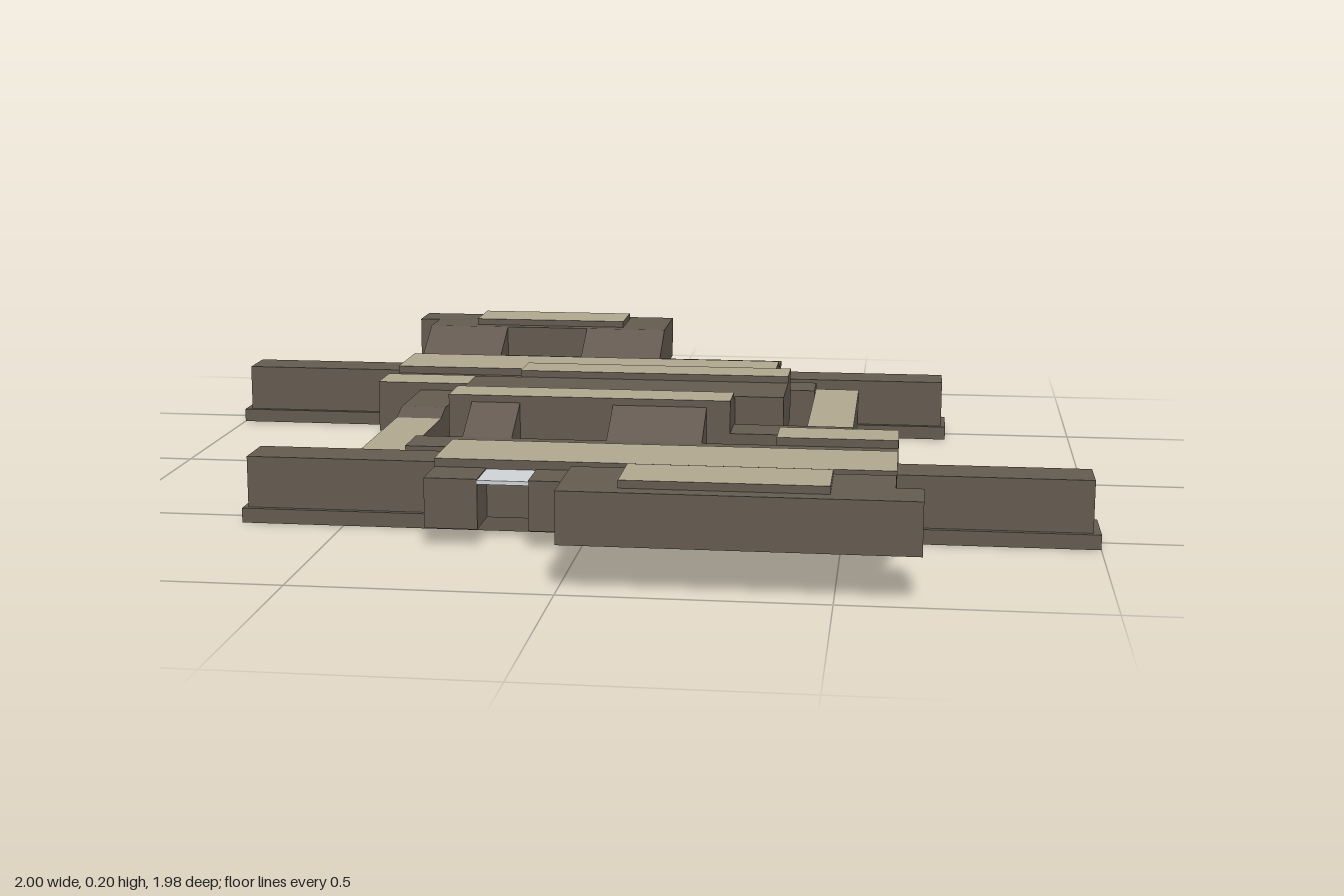
import * as THREE from 'three';

const mat = (name, color, side = THREE.FrontSide) => {
  const m = new THREE.MeshStandardMaterial({ color, side });
  m.name = name;
  return m;
};

export function createModel() {
  const model = new THREE.Group();
  model.name = 'railPlatform';
  const brown = mat('brown metal', 0x645a50);
  const tan = mat('tan panel', 0xb0a78e);
  const grey = mat('pale grey clip', 0xd0d3d6);
  const capped = [brown, brown, tan, brown, brown, brown];

  // Box given by its limits on each axis
  const box = (parent, name, x0, x1, y0, y1, z0, z1, material = brown) => {
    const mesh = new THREE.Mesh(new THREE.BoxGeometry(x1 - x0, y1 - y0, z1 - z0), material);
    mesh.position.set((x0 + x1) / 2, (y0 + y1) / 2, (z0 + z1) / 2);
    mesh.name = name;
    parent.add(mesh);
  };

  // Prism with a side profile of [z, y] points, spanning x0 to x1
  const prism = (parent, name, x0, x1, points, material = brown) => {
    const shape = new THREE.Shape(points.map(([z, y]) => new THREE.Vector2(-z, y)));
    const geo = new THREE.ExtrudeGeometry(shape, { depth: x1 - x0, bevelEnabled: false });
    geo.rotateY(Math.PI / 2);
    const mesh = new THREE.Mesh(geo, material);
    mesh.position.x = x0;
    mesh.name = name;
    parent.add(mesh);
  };

  // Sloped link between two heights, each given as [z, bottom, top]
  const link = (parent, name, x0, x1, [za, a0, a1], [zb, b0, b1]) =>
    prism(parent, name, x0, x1, [[za, a0], [zb, b0], [zb, b1], [za, a1]]);

  const low = 0.035, deck = 0.135, high = 0.09, top = 0.19;

  // Two matching halves, the second turned half round
  for (const end of ['front', 'back']) {
    const half = new THREE.Group();
    half.name = end + 'Half';
    if (end === 'back') half.rotation.y = Math.PI;
    model.add(half);

    // Rail with flange
    box(half, 'railFlange', -0.71, 1, 0, 0.03, 0.433, 0.557);
    box(half, 'railBody', -0.7, 0.985, 0.03, deck, 0.445, 0.545);

    // Carriage over the rail
    box(half, 'carriage', -0.305, 0.605, low, deck, 0.405, 0.587);
    box(half, 'carriageCover', -0.305, 0.605, deck, 0.152, 0.407, 0.587, capped);
    box(half, 'sidePad', 0.355, 0.605, low, 0.152, 0.2, 0.305, capped);

    // Raised end platform on two sloped legs
    box(half, 'endPlatform', 0, 0.605, high, top, 0.79, 0.99);
    box(half, 'endTab', 0.605, 0.655, high, top, 0.89, 0.99);
    box(half, 'endPanel', 0.11, 0.49, top, 0.205, 0.82, 0.955, capped);
    for (const [a, b] of [[0, 0.2], [0.405, 0.605]])
      link(half, 'endLeg', a, b, [0.79, high, top], [0.687, low, deck]);

    // Sloped legs to the centre
    for (const [a, b] of [[-0.305, -0.2], [0, 0.2]])
      link(half, 'centreLeg', a, b, [0.2, high, top], [0.305, low, deck]);

    // Centre strip and corner arm
    box(half, 'centrePanel', -0.355, 0.25, top, 0.205, 0.1, 0.2, capped);
    box(half, 'cornerArm', 0.25, 0.505, low, deck, 0.1, 0.2);

    // Wedge clip below the carriage
    prism(half, 'wedgeClip', 0.5, 0.605, [[0.555, 0], [0.555, low], [0.69, low]], grey);
  }

  // Carriage edge strips, with gaps that differ between the ends
  for (const [a, b, z0, z1] of [
    [-0.405, 0.605, 0.303, 0.405], [-0.305, -0.2, 0.587, 0.687], [-0.1, 0.605, 0.587, 0.687],
    [-0.605, 0.305, -0.687, -0.587], [-0.605, 0.1, -0.405, -0.303], [0.2, 0.405, -0.405, -0.303],
  ]) box(model, 'edgeStrip', a, b, low, deck, z0, z1);

  // Thin clips in the gaps
  box(model, 'frontGapClip', -0.2, -0.1, 0.125, 0.133, 0.587, 0.687, grey);
  box(model, 'backGapClip', 0.1, 0.2, 0.125, 0.133, -0.405, -0.303, grey);

  // Centre slab
  box(model, 'centreSlab', -0.355, 0.355, high, top, -0.1, 0.07);
  box(model, 'centreSlabFront', -0.355, 0.25, high, top, 0.07, 0.2);
  box(model, 'centreSlabBack', -0.25, 0.355, high, top, -0.2, -0.1);

  // Low side beams and their ramps
  box(model, 'leftBeam', 0.405, 0.505, 0.005, 0.12, -0.405, 0.05, capped);
  link(model, 'leftRamp', 0.405, 0.505, [0.1, low, deck], [0.05, 0.005, 0.12]);
  box(model, 'rightBeam', -0.505, -0.405, 0.005, 0.12, 0.05, 0.4, capped);
  link(model, 'rightRamp', -0.505, -0.405, [0, low, deck], [0.05, 0.005, 0.12]);
  box(model, 'rightArm', -0.505, -0.405, low, deck, -0.1, 0);

  // Make every prism face outward regardless of profile direction
  model.traverse((o) => {
    if (o.isMesh && o.geometry.type === 'ExtrudeGeometry') o.material.side = THREE.DoubleSide;
  });
  return model;
}
